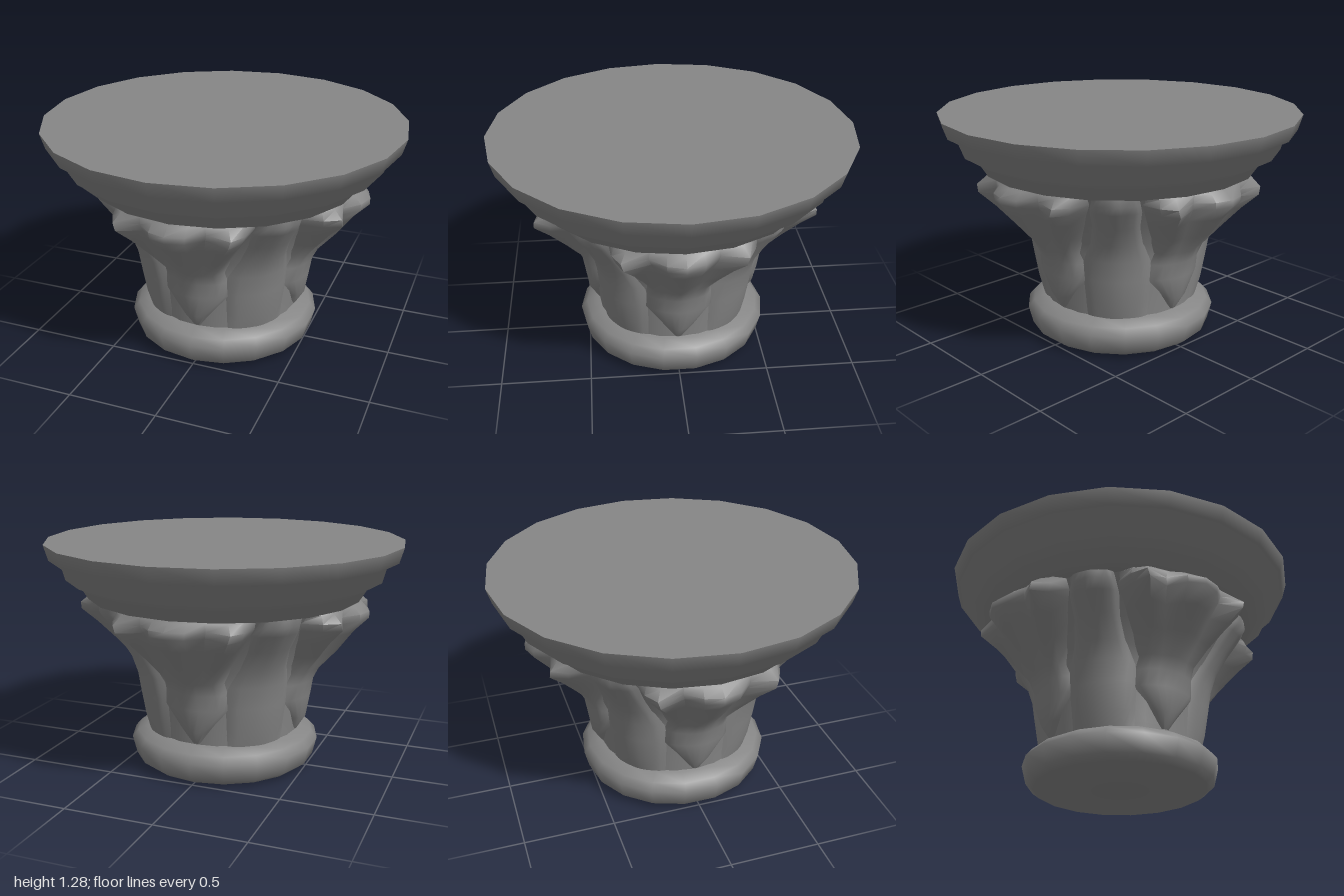
import * as THREE from 'three';
import { toCreasedNormals } from 'three/addons/utils/BufferGeometryUtils.js';

const material = new THREE.MeshStandardMaterial({ color: 0x868686, side: THREE.DoubleSide });

// Turned part from [radius, height] points
function turned(name, points, sides) {
  const geo = new THREE.LatheGeometry(points.map(([r, y]) => new THREE.Vector2(r, y)), sides);
  const mesh = new THREE.Mesh(toCreasedNormals(geo, 1.15), material);
  mesh.name = name;
  return mesh;
}

const bellProfile = [[0.43, 0.17], [0.435, 0.24], [0.455, 0.4], [0.47, 0.54], [0.51, 0.65], [0.58, 0.78], [0.67, 0.92], [0.74, 1.02]];

function bellRadius(y) {
  for (let i = 1; i < bellProfile.length; i++) {
    const [r0, y0] = bellProfile[i - 1], [r1, y1] = bellProfile[i];
    if (y <= y1) return r0 + (r1 - r0) * Math.max(0, (y - y0) / (y1 - y0));
  }
  return 0.74;
}

// Cross-section of a leaf: raised middle rib, two valleys, two side lobes, edges sunk in the bell
const across = [-1, -0.82, -0.66, -0.4, -0.2, 0, 0.2, 0.4, 0.66, 0.82, 1];
const smoothRelief = [-0.15, 0.35, 0.6, 0.8, 0.94, 1, 0.94, 0.8, 0.6, 0.35, -0.15];
const lobedRelief = [-0.1, 0.55, 0.92, 0.45, 0.85, 1, 0.85, 0.45, 0.92, 0.55, -0.1];

// Rows are [height, middle radius, half width, lobing 0..1, drop of the edges]
function leafGeometry(rows) {
  const n = across.length, positions = [], index = [];
  rows.forEach(([y, r, half, lobing, drop], j) => {
    across.forEach((u, i) => {
      const relief = THREE.MathUtils.lerp(smoothRelief[i], lobedRelief[i], lobing);
      const height = y - drop * Math.abs(u);
      const inner = bellRadius(height);
      const radius = inner + (r - inner) * relief;
      const angle = (u * half) / r;
      positions.push(radius * Math.sin(angle), height, radius * Math.cos(angle));
      if (j && i) {
        const c = j * n + i, d = c - 1, b = c - n, a = b - 1;
        index.push(a, b, c, a, c, d);
      }
    });
  });
  const geo = new THREE.BufferGeometry();
  geo.setAttribute('position', new THREE.Float32BufferAttribute(positions, 3));
  geo.setIndex(index);
  return toCreasedNormals(geo, 1.1);
}

export function createModel() {
  const model = new THREE.Group();
  model.name = 'columnCapital';

  // Rounded foot ring, flared core and stepped top slab
  model.add(turned('footRing', [[0, 0], [0.48, 0.01], [0.52, 0.04], [0.545, 0.14], [0.51, 0.18], [0.45, 0.21], [0.4, 0.22]], 18));
  model.add(turned('bell', bellProfile, 24));
  model.add(turned('topSlab', [[0.7, 0.97], [0.77, 0.98], [0.82, 1.06], [0.89, 1.09], [0.915, 1.18], [0.975, 1.2], [1, 1.285], [0, 1.285]], 20));

  // Broad lobed leaves on the four axes, narrow at the waist and curling out at the top
  const broadLeaf = leafGeometry([
    [0.22, 0.44, 0.02, 0, 0], [0.3, 0.49, 0.09, 0, 0], [0.43, 0.51, 0.22, 0, 0], [0.52, 0.525, 0.21, 0, 0],
    [0.59, 0.56, 0.21, 0.2, 0], [0.7, 0.66, 0.3, 0.5, 0], [0.82, 0.75, 0.4, 0.8, 0.02],
    [0.9, 0.83, 0.48, 1, 0.02], [0.935, 0.83, 0.5, 1, 0.01], [0.97, 0.78, 0.46, 0.7, 0], [1.0, 0.73, 0.4, 0, 0],
  ]);
  // Slim recessed leaves on the diagonals, with a rounded swelling low on the bell
  const recessedLeaf = leafGeometry([
    [0.2, 0.445, 0.17, 0, 0], [0.3, 0.475, 0.19, 0, 0], [0.44, 0.5, 0.21, 0, 0], [0.56, 0.52, 0.2, 0, 0],
    [0.66, 0.555, 0.16, 0, 0], [0.78, 0.63, 0.14, 0, 0], [0.88, 0.7, 0.15, 0.2, 0],
    [0.93, 0.735, 0.14, 0.2, 0], [0.98, 0.73, 0.12, 0, 0],
  ]);
  for (let i = 0; i < 8; i++) {
    const leaf = new THREE.Mesh(i % 2 ? recessedLeaf : broadLeaf, material);
    leaf.name = i % 2 ? 'recessedLeaf' : 'broadLeaf';
    leaf.rotation.y = (i * Math.PI) / 4;
    model.add(leaf);
  }
  return model;
}
